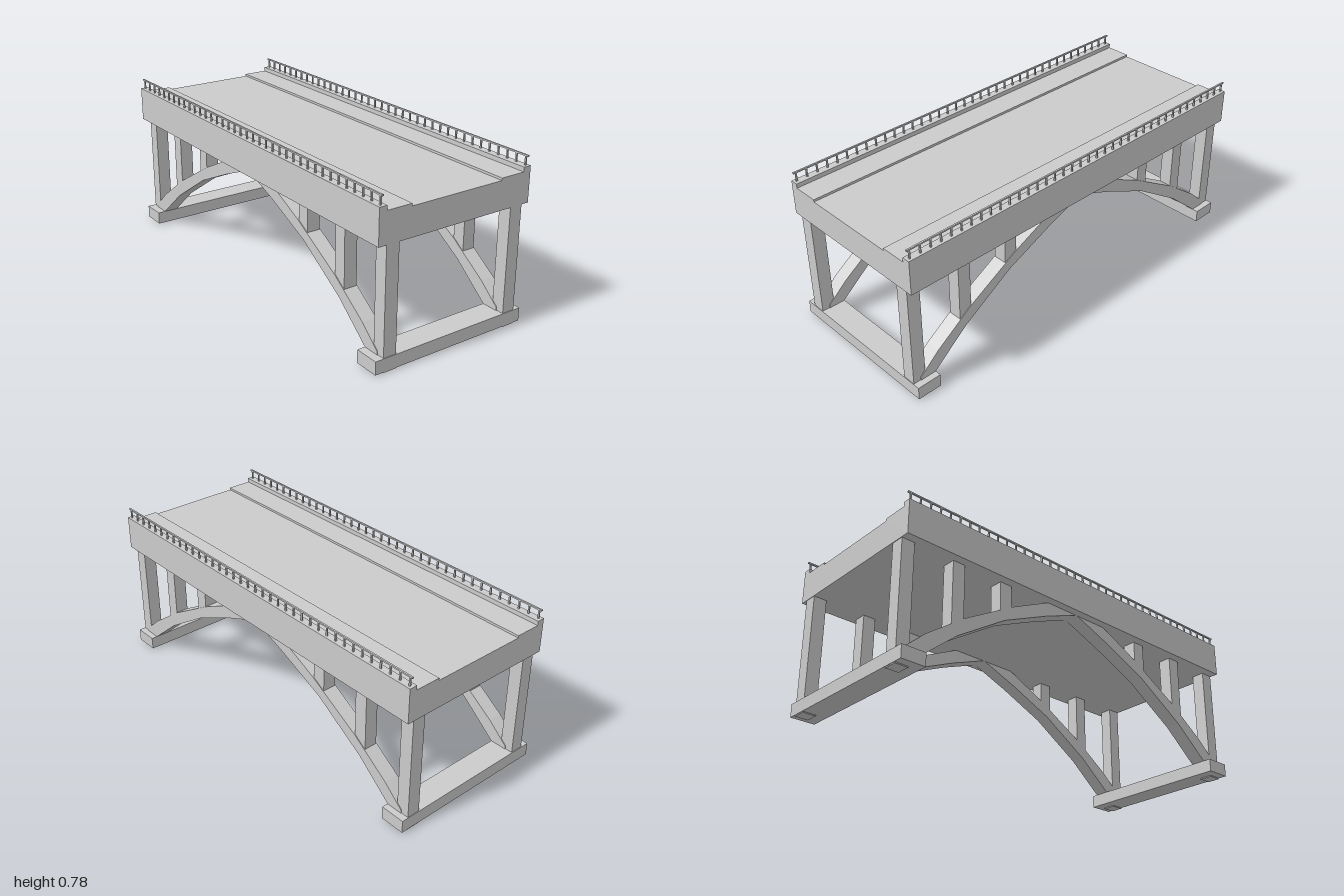
import * as THREE from 'three';

const mat = new THREE.MeshStandardMaterial({ color: 0xcccccc, flatShading: true });

function add(parent, name, geometry) {
  const mesh = new THREE.Mesh(geometry, mat);
  mesh.name = name;
  parent.add(mesh);
  return mesh;
}

// Box given by its min and max corners
function box(parent, name, [x0, y0, z0], [x1, y1, z1]) {
  const mesh = add(parent, name, new THREE.BoxGeometry(x1 - x0, y1 - y0, z1 - z0));
  mesh.position.set((x0 + x1) / 2, (y0 + y1) / 2, (z0 + z1) / 2);
  return mesh;
}

const shapeOf = (pts) => new THREE.Shape(pts.map(([a, b]) => new THREE.Vector2(a, b)));

export function createModel() {
  const bridge = new THREE.Group();
  bridge.name = 'bridge';
  const deckBottom = 0.565;

  // Deck cross-section with raised kerbs and footpaths, run along z
  const half = [[0.4, deckBottom], [0.4, 0.731], [0.362, 0.731], [0.362, 0.71], [0.238, 0.71], [0.238, 0.699]];
  const profile = [...half, ...half.map(([x, y]) => [-x, y]).reverse()];
  const deck = new THREE.ExtrudeGeometry(shapeOf(profile), { depth: 2, bevelEnabled: false });
  add(bridge, 'deck', deck.translate(0, 0, -1));

  // Arch outline: lower and upper edges as [z, y]; the crown runs into the deck
  const lower = [[0.9, 0.05], [0.7, 0.217], [0.44, 0.382], [0.2, 0.489], [0, 0.567]];
  const upper = [[0.2, 0.557], [0.4, 0.462], [0.67, 0.307], [0.86, 0.172], [0.96, 0.083], [0.96, 0.05]];
  const archHalf = [...upper.slice().reverse(), [0, 0.64]];
  const mirror = (pts) => pts.map(([z, y]) => [-z, y]);
  const outline = [
    ...lower, ...mirror(lower.slice(0, -1)).reverse(),
    ...mirror(archHalf.slice(0, -1)), ...archHalf.slice().reverse(),
  ];
  const archWidth = 0.071;
  const archGeometry = new THREE.ExtrudeGeometry(shapeOf(outline), { depth: archWidth, bevelEnabled: false });
  archGeometry.translate(0, 0, -archWidth / 2).rotateY(-Math.PI / 2);

  // Columns: [centre z, foot y]
  const columns = [[0.965, 0], [0.698, 0.25], [0.433, 0.41]];
  const c = 0.032;
  for (const [side, x] of [['left', 0.334], ['right', -0.326]]) {
    add(bridge, side + 'Arch', archGeometry).position.x = x;
    for (const end of [1, -1]) {
      for (const [cz, foot] of columns) {
        const z = cz * end;
        box(bridge, side + 'Column', [x - c, foot, z - c], [x + c, deckBottom + 0.02, z + c]);
      }
    }
  }

  // Footing beams across both ends
  box(bridge, 'frontFooting', [-0.4, 0.005, 0.88], [0.4, 0.067, 1]);
  box(bridge, 'backFooting', [-0.4, 0.005, -1], [0.4, 0.067, -0.88]);

  // Railings on the kerbs
  const posts = 38;
  for (const [side, x] of [['left', 0.385], ['right', -0.383]]) {
    const railing = new THREE.Group();
    railing.name = side + 'Railing';
    railing.position.x = x;
    bridge.add(railing);
    box(railing, 'handrail', [-0.004, 0.771, -0.998], [0.004, 0.778, 0.998]);
    for (let i = 0; i < posts; i++) {
      const z = 0.984 - (1.968 * i) / (posts - 1);
      box(railing, 'post', [-0.0035, 0.725, z - 0.0035], [0.0035, 0.773, z + 0.0035]);
    }
  }
  return bridge;
}
